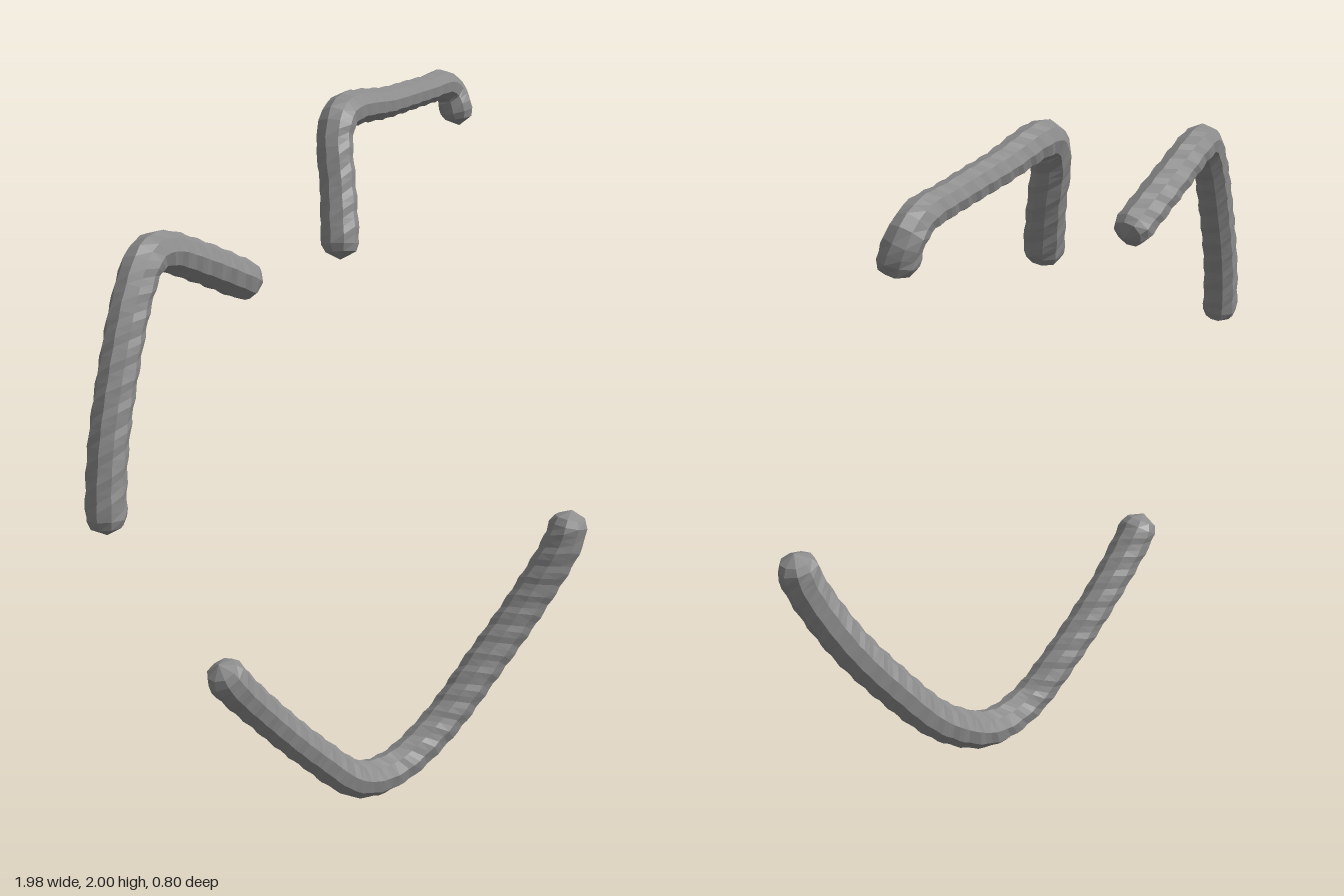
import * as THREE from 'three';

const grey = new THREE.MeshStandardMaterial({ color: 0x8c8c8c, flatShading: true });
grey.name = 'grey';

// Lumpy round strand swept along points [x, y, z, radius], with domed ends
function strand(name, points) {
  const curve = new THREE.CatmullRomCurve3(
    points.map(([x, y, z]) => new THREE.Vector3(x, y, z)), false, 'centripetal');
  const length = curve.getLength();
  const rings = Math.round(length / 0.022), sides = 9;
  const geometry = new THREE.TubeGeometry(curve, rings, 1, sides, false);
  const position = geometry.attributes.position;
  const v = new THREE.Vector3();

  for (let i = 0; i <= rings; i++) {
    const u = i / rings;
    const centre = curve.getPointAt(u);
    // Radius read between neighbouring control points
    const t = curve.getUtoTmapping(u) * (points.length - 1);
    const k = Math.min(Math.floor(t), points.length - 2);
    const radius = THREE.MathUtils.lerp(points[k][3], points[k + 1][3], t - k);
    // Hemispherical closing at both tips
    const d = Math.min(1, Math.min(u, 1 - u) * length / radius);
    const dome = Math.sqrt(1 - (1 - d) ** 2);
    for (let j = 0; j <= sides; j++) {
      const n = i * (sides + 1) + j;
      const lump = 1 + 0.04 * Math.sin(i * 1.9 + (j % sides) * 2.3);
      v.fromBufferAttribute(position, n).sub(centre)
        .multiplyScalar(radius * dome * lump).add(centre);
      position.setXYZ(n, v.x, v.y, v.z);
    }
  }
  geometry.computeVertexNormals();
  const mesh = new THREE.Mesh(geometry, grey);
  mesh.name = name;
  return mesh;
}

export function createModel() {
  const group = new THREE.Group();
  group.name = 'face';

  group.add(
    // Arched brow on the model's right
    strand('rightBrow', [
      [-0.935, 1.085, -0.03, 0.053], [-0.93, 1.16, -0.037, 0.053], [-0.90, 1.31, -0.05, 0.052],
      [-0.83, 1.5, -0.07, 0.052], [-0.75, 1.65, -0.095, 0.052], [-0.68, 1.725, -0.115, 0.053],
      [-0.60, 1.728, -0.135, 0.054], [-0.45, 1.67, -0.15, 0.056], [-0.28, 1.59, -0.155, 0.056],
      [-0.22, 1.56, -0.155, 0.056]]),
    // Angular brow on the model's left, hooked at its outer end
    strand('leftBrow', [
      [0.105, 1.57, -0.12, 0.055], [0.12, 1.64, -0.135, 0.055], [0.15, 1.76, -0.165, 0.052],
      [0.18, 1.89, -0.2, 0.052], [0.225, 1.947, -0.215, 0.053], [0.5, 1.94, -0.265, 0.045],
      [0.75, 1.935, -0.315, 0.043], [0.89, 1.93, -0.345, 0.046], [0.935, 1.9, -0.348, 0.048],
      [0.948, 1.85, -0.335, 0.052], [0.95, 1.8, -0.325, 0.05]]),
    // Wide lopsided smile
    strand('smile', [
      [-0.525, 0.58, -0.04, 0.057], [-0.49, 0.52, -0.033, 0.057], [-0.36, 0.37, -0.01, 0.053],
      [-0.2, 0.2, 0.033, 0.053], [-0.07, 0.085, 0.073, 0.055], [0.08, 0.064, 0.095, 0.056],
      [0.25, 0.15, 0.135, 0.058], [0.4, 0.32, 0.195, 0.06], [0.52, 0.5, 0.265, 0.06],
      [0.6, 0.69, 0.335, 0.06], [0.62, 0.78, 0.345, 0.06]]),
  );
  return group;
}
